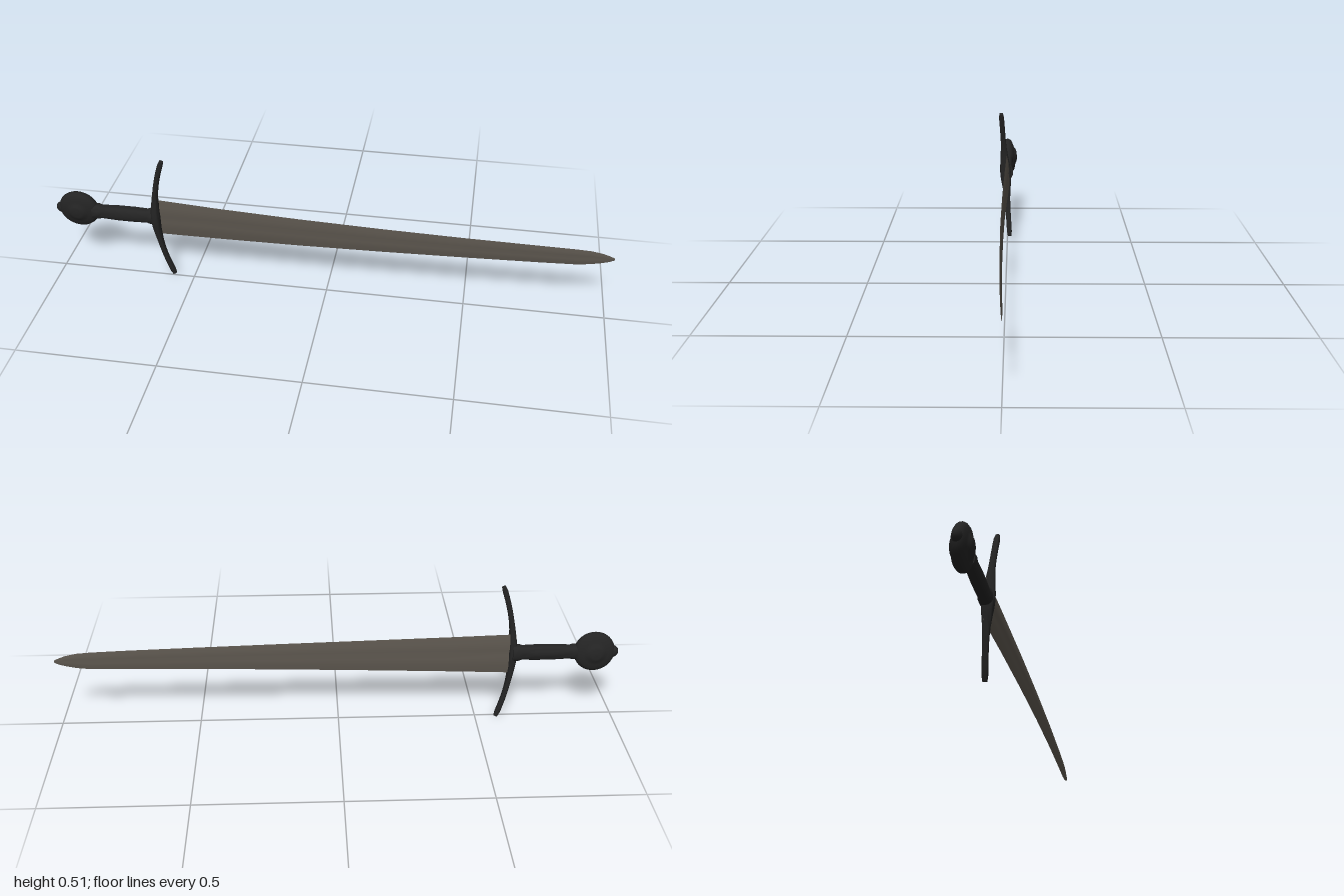
import * as THREE from 'three';
import { toCreasedNormals } from 'three/addons/utils/BufferGeometryUtils.js';

// Skin a series of rings (each ordered counter-clockwise around the travel axis), capped at both ends.
function loft(rings, crease) {
  const n = rings[0].length, pos = [], idx = [];
  for (const ring of rings) for (const p of ring) pos.push(...p);
  for (let i = 0; i < rings.length - 1; i++) {
    for (let j = 0; j < n; j++) {
      const a = i * n + j, b = i * n + (j + 1) % n;
      idx.push(a, b, a + n, b, b + n, a + n);
    }
  }
  const last = (rings.length - 1) * n;
  for (let j = 1; j < n - 1; j++) {
    idx.push(0, j + 1, j);
    idx.push(last, last + j, last + j + 1);
  }
  const g = new THREE.BufferGeometry();
  g.setAttribute('position', new THREE.Float32BufferAttribute(pos, 3));
  g.setIndex(idx);
  return toCreasedNormals(g, crease);
}

// Superellipse point, slightly squarer than a circle.
function rounded(angle, power) {
  const f = (v) => Math.sign(v) * Math.abs(v) ** power;
  return [f(Math.cos(angle)), f(Math.sin(angle))];
}

const MID_Y = 0.26;

export function createModel() {
  const steel = new THREE.MeshStandardMaterial({ color: 0x5c564e });
  steel.name = 'dull steel';
  const iron = new THREE.MeshStandardMaterial({ color: 0x242424 });
  iron.name = 'dark iron';

  const sword = new THREE.Group();
  sword.name = 'sword';
  const add = (name, geometry, material, parent = sword) => {
    const mesh = new THREE.Mesh(geometry, material);
    mesh.name = name;
    parent.add(mesh);
    return mesh;
  };

  // Blade: tapering, gently bowed, with a shallow fuller; [x, low y, high y, half thickness]
  const stations = [
    [-0.63, 0.181, 0.333, 0.006], [-0.4, 0.187, 0.323, 0.005], [-0.1, 0.195, 0.313, 0.004],
    [0.2, 0.204, 0.305, 0.004], [0.5, 0.213, 0.298, 0.003], [0.75, 0.22, 0.293, 0.003],
    [0.87, 0.224, 0.29, 0.003], [0.92, 0.23, 0.287, 0.0025], [0.96, 0.239, 0.279, 0.002],
    [0.985, 0.247, 0.27, 0.0015], [1.0, 0.255, 0.263, 0.001],
  ];
  const section = [
    [1, 0], [0.6, 0.8], [0.25, 1], [0, 0.7], [-0.25, 1], [-0.6, 0.8],
    [-1, 0], [-0.6, -0.8], [-0.25, -1], [0, -0.7], [0.25, -1], [0.6, -0.8],
  ];
  const blade = stations.map(([x, low, high, thick]) => {
    const bow = 0.012 - 0.012 * ((x - 0.2) / 0.8) ** 2;
    return section.map(([u, v]) => {
      const y = (low + high) / 2 + u * (high - low) / 2;
      return [x, y, bow + v * thick + 0.05 * (y - MID_Y)];
    });
  });
  add('blade', loft(blade, 0.6), steel);

  // Crossguard: a bar curving toward the blade, thicker in the middle and slightly tilted
  const guard = [];
  for (let i = 0; i <= 28; i++) {
    const t = i / 14 - 1;
    const swell = Math.exp(-((t / 0.3) ** 2));
    const end = Math.abs(t) > 0.99 ? 0.75 : 1;
    const halfX = (0.009 + 0.007 * swell) * end, halfZ = (0.01 + 0.012 * swell) * end;
    const ring = [];
    for (let j = 0; j < 16; j++) {
      const [c, s] = rounded(j / 16 * Math.PI * 2, 0.7);
      const x = -0.622 + 0.046 * t * t + s * halfX;
      ring.push([x, 0.256 + 0.254 * t + s * halfX * -0.36 * t, 0.008 + 0.017 * t + c * halfZ]);
    }
    guard.push(ring);
  }
  add('crossguard', loft(guard, 0.9), iron);

  // Grip: an oval handle with a slight swell and a collar at each end; [x, half y, half z]
  const grip = [
    [-0.86, 0.027, 0.02], [-0.838, 0.029, 0.023], [-0.825, 0.026, 0.019], [-0.76, 0.029, 0.021],
    [-0.7, 0.029, 0.021], [-0.655, 0.027, 0.02], [-0.642, 0.031, 0.024], [-0.62, 0.031, 0.024],
  ].map(([x, ry, rz]) => Array.from({ length: 20 }, (_, j) => {
    const [c, s] = rounded(j / 20 * Math.PI * 2, 0.85);
    return [x, MID_Y + c * ry, 0.002 + s * rz];
  }));
  add('grip', loft(grip, 0.9), iron);

  // Wheel pommel: a rounded disc with a raised boss on each face, and a rivet nub at the end
  const pommel = new THREE.Group();
  pommel.name = 'pommel';
  pommel.position.set(-0.913, 0.262, -0.002);
  pommel.rotation.x = 0.1;
  sword.add(pommel);
  const half = [
    [0.0001, 0.035], [0.018, 0.034], [0.028, 0.031], [0.034, 0.026],
    [0.045, 0.023], [0.06, 0.019], [0.069, 0.012], [0.073, 0.004],
  ];
  const mirrored = half.map(([r, h]) => [r, -h]);
  const profile = [...mirrored, ...half.slice().reverse()].map(([r, h]) => new THREE.Vector2(r, h));
  const wheel = new THREE.LatheGeometry(profile, 40);
  wheel.rotateX(Math.PI / 2);
  add('pommelWheel', wheel, iron, pommel);
  const nub = new THREE.SphereGeometry(1, 20, 12);
  nub.scale(0.027, 0.024, 0.016);
  add('pommelNub', nub, iron, pommel).position.set(-0.06, -0.001, 0);

  return sword;
}
